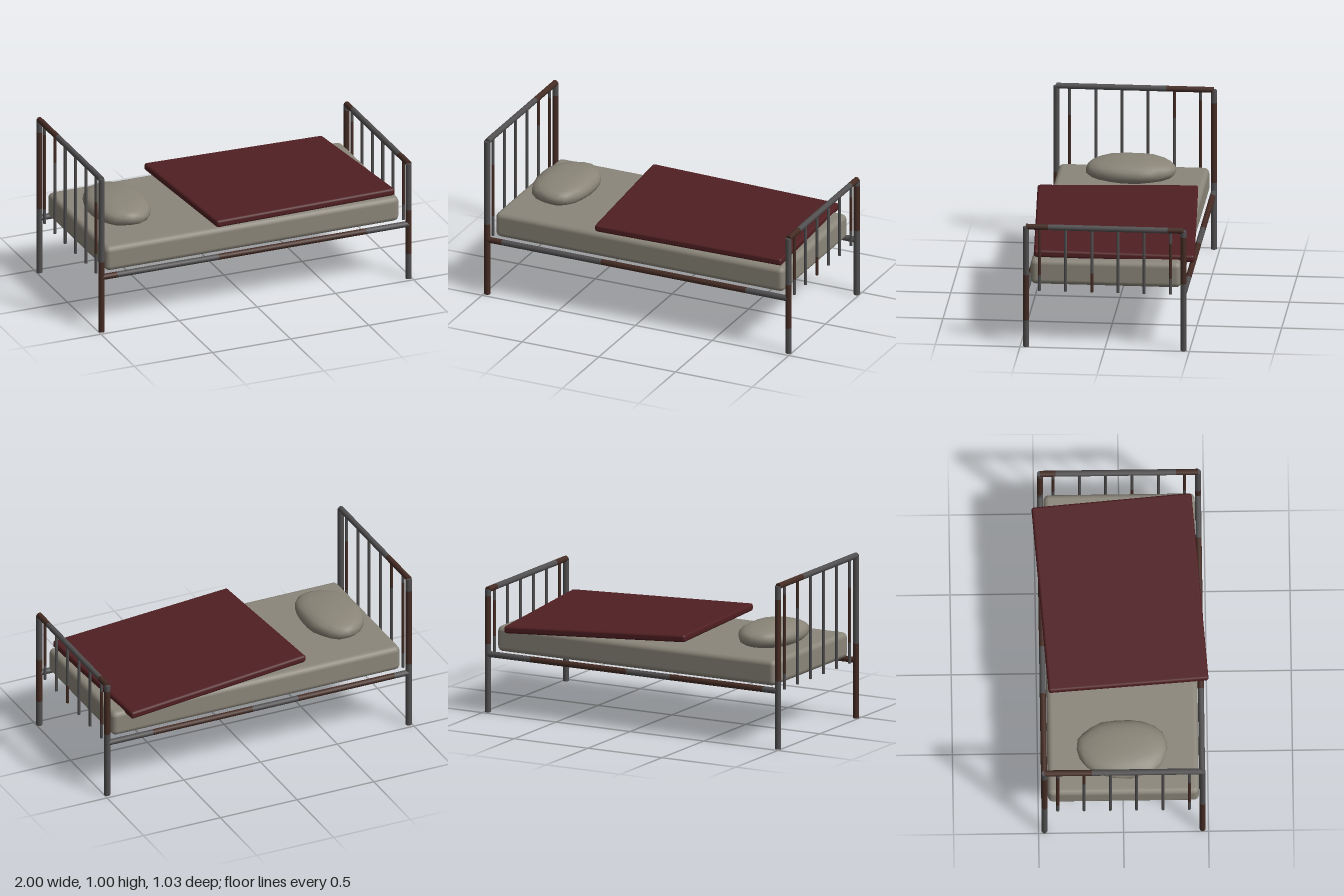
import * as THREE from 'three';
import { mergeVertices } from 'three/addons/utils/BufferGeometryUtils.js';
import { RoundedBoxGeometry } from 'three/addons/geometries/RoundedBoxGeometry.js';

const material = (name, color) => {
  const m = new THREE.MeshStandardMaterial({ color });
  m.name = name;
  return m;
};

export function createModel() {
  const bed = new THREE.Group();
  bed.name = 'bed';
  const metal = material('grey metal', 0x514f50);
  const rust = material('rust', 0x452c24);
  const cotton = material('stained cotton', 0x8b867a);
  const linen = material('pillow linen', 0x8a8578);
  const wool = material('dark red wool', 0x501f22);

  function add(parent, name, geometry, mat) {
    const mesh = new THREE.Mesh(geometry, mat);
    mesh.name = name;
    parent.add(mesh);
    return mesh;
  }

  // Straight tube from a to b; rusty lists [start, end] fractions of its length
  function tube(parent, name, a, b, radius, rusty = []) {
    const start = new THREE.Vector3(...a), end = new THREE.Vector3(...b);
    const dir = end.clone().sub(start);
    const length = dir.length();
    const group = new THREE.Group();
    group.name = name;
    group.position.copy(start);
    group.quaternion.setFromUnitVectors(new THREE.Vector3(0, 1, 0), dir.normalize());
    const piece = (from, to, mat) => {
      if (to - from < 0.001) return;
      const g = new THREE.CylinderGeometry(radius, radius, (to - from) * length, 10);
      g.translate(0, (from + to) / 2 * length, 0);
      add(group, name + (mat === rust ? 'Rust' : 'Metal'), g, mat);
    };
    let at = 0;
    for (const [from, to] of rusty) {
      piece(at, from, metal);
      piece(from, to, rust);
      at = to;
    }
    piece(at, 1, metal);
    parent.add(group);
  }

  // Head and foot frames: two posts, a top rail and six bars
  const X = 0.982, Z = 0.465, R = 0.018;
  const ends = [
    { name: 'headboard', x: -X, top: 0.982,
      posts: [[[0, 0.46]], [[0.42, 0.92]]], rail: [[0, 0.3]],
      bars: [[[0.15, 0.9]], [[0.72, 1]], [], [], [], [[0.2, 0.72]]] },
    { name: 'footboard', x: X, top: 0.738,
      posts: [[[0.22, 0.6]], [[0.56, 0.95]]], rail: [[0, 0.1], [0.86, 1]],
      bars: [[[0.25, 0.8]], [], [], [[0, 0.3]], [], [[0.25, 1]]] },
  ];
  for (const { name, x, top, posts, rail, bars } of ends) {
    const frame = new THREE.Group();
    frame.name = name;
    bed.add(frame);
    [Z, -Z].forEach((z, i) => tube(frame, 'post', [x, 0, z], [x, top, z], R, posts[i]));
    tube(frame, 'topRail', [x, top, -Z], [x, top, Z], R, rail);
    bars.forEach((rusty, i) => {
      const z = -0.387 + i * 0.1548;
      tube(frame, 'bar', [x, 0.345, z], [x, top, z], 0.009, rusty);
    });
  }

  // Long side rails
  tube(bed, 'frontSideRail', [-X, 0.35, Z], [X, 0.35, Z], R, [[0, 0.05], [0.38, 0.86]]);
  tube(bed, 'backSideRail', [-X, 0.35, -Z], [X, 0.35, -Z], R, [[0.05, 0.37], [0.52, 0.85]]);

  // Mattress
  add(bed, 'mattress', new RoundedBoxGeometry(1.88, 0.155, 0.89, 2, 0.032), cotton)
    .position.set(-0.004, 0.443, 0);

  // Pillow: a squared-off, slightly lumpy ball with a flattened underside
  let ball = new THREE.IcosahedronGeometry(1, 3);
  ball.deleteAttribute('normal');
  ball.deleteAttribute('uv');
  ball = mergeVertices(ball);
  const p = ball.attributes.position;
  const soften = (v, k) => Math.sign(v) * Math.pow(Math.abs(v), k);
  for (let i = 0; i < p.count; i++) {
    const x = p.getX(i), y = p.getY(i), z = p.getZ(i);
    const lump = 1 + 0.03 * Math.sin(5 * x + 3 * z) * Math.cos(4 * z + 2 * y);
    p.setXYZ(i, 0.18 * soften(x, 0.9) * lump, 0.072 * soften(y, 0.8) * lump, 0.267 * soften(z, 0.95) * lump);
  }
  ball.computeVertexNormals();
  add(bed, 'pillow', ball, linen).position.set(-0.687, 0.578, -0.004);

  // Blanket: thin slab, gently sloped and twisted, laid askew
  const L = 1.18, W = 0.945;
  const slab = new RoundedBoxGeometry(L, 0.045, W, 2, 0.015);
  const q = slab.attributes.position;
  for (let i = 0; i < q.count; i++) {
    const u = q.getX(i) / (L / 2), v = q.getZ(i) / (W / 2);
    q.setY(i, q.getY(i) - 0.023 * u + 0.007 * v + 0.008 * u * v);
  }
  const blanket = add(bed, 'blanket', slab, wool);
  blanket.position.set(0.292, 0.558, -0.003);
  blanket.rotation.y = 0.072;

  return bed;
}
